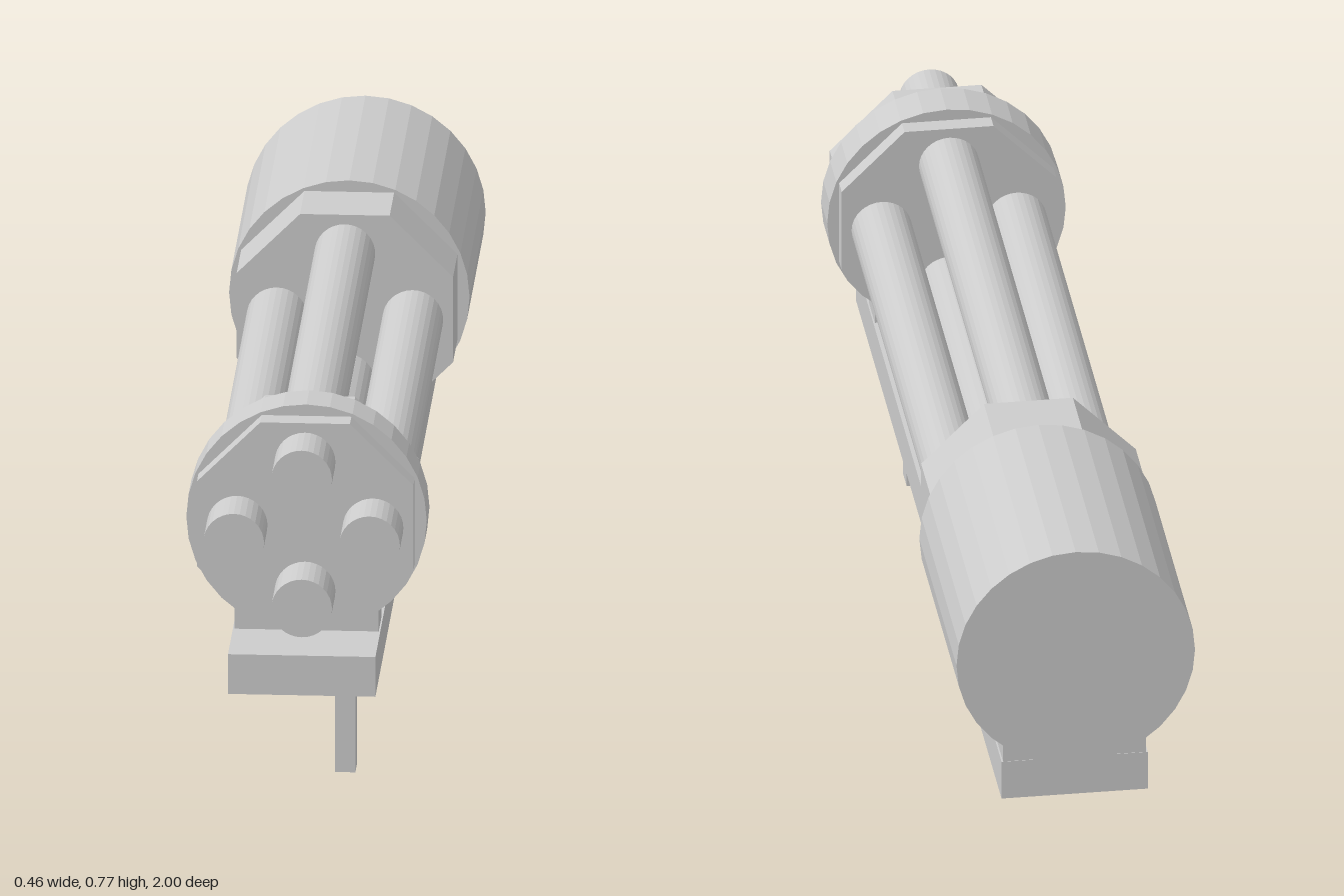
import * as THREE from 'three';

const AXIS_Y = 0.545;

export function createModel() {
  const model = new THREE.Group();
  const material = new THREE.MeshStandardMaterial({ color: 0xcccccc, flatShading: true });

  function add(name, geometry) {
    const mesh = new THREE.Mesh(geometry, material);
    mesh.name = name;
    model.add(mesh);
    return mesh;
  }

  // Prism lying along z between two depths
  function prism(name, radius, sides, z0, z1, x = 0, y = AXIS_Y, turn = 0) {
    const geometry = new THREE.CylinderGeometry(radius, radius, z1 - z0, sides, 1, false, turn);
    geometry.rotateX(Math.PI / 2);
    add(name, geometry).position.set(x, y, (z0 + z1) / 2);
  }

  // Box given by its limits
  function block(name, x0, x1, y0, y1, z0, z1) {
    add(name, new THREE.BoxGeometry(x1 - x0, y1 - y0, z1 - z0))
      .position.set((x0 + x1) / 2, (y0 + y1) / 2, (z0 + z1) / 2);
  }

  // Rear housing and its octagonal collar
  prism('rearHousing', 0.23, 32, -1, -0.493);
  prism('rearCollar', 0.224, 8, -0.5, -0.355, 0, AXIS_Y, Math.PI / 8);

  // Front clamp: octagonal plate with a round band
  prism('frontCollar', 0.224, 8, 0.728, 0.892, 0, AXIS_Y, Math.PI / 8);
  prism('frontBand', 0.23, 32, 0.763, 0.848);

  // Four barrels around the axis
  for (let i = 0; i < 4; i++) {
    const a = (i * Math.PI) / 2;
    prism('barrel', 0.058, 32, -0.4, 1, 0.13 * Math.cos(a), AXIS_Y + 0.13 * Math.sin(a));
  }

  // Base plate and the saddles that carry the round parts
  block('basePlate', -0.141, 0.141, 0.24, 0.32, -0.985, 1);
  block('rearSaddle', -0.138, 0.138, 0.31, 0.37, -0.984, -0.496);
  block('frontSaddle', -0.138, 0.138, 0.31, 0.37, 0.764, 0.847);

  // Grips
  block('frontGrip', 0.048, 0.087, 0, 0.25, 0.69, 0.743);
  block('rearGrip', -0.02, 0.02, 0, 0.25, -0.125, -0.073);

  // Curved trigger, drawn in the z-y plane
  const profile = new THREE.Shape();
  profile.moveTo(-0.037, 0.25);
  profile.lineTo(-0.037, 0.222);
  profile.quadraticCurveTo(-0.032, 0.185, -0.006, 0.17);
  profile.lineTo(0.001, 0.181);
  profile.quadraticCurveTo(-0.022, 0.197, -0.024, 0.222);
  profile.lineTo(-0.024, 0.25);
  const trigger = new THREE.ExtrudeGeometry(profile, { depth: 0.02, bevelEnabled: false, curveSegments: 5 });
  trigger.translate(0, 0, -0.01);
  trigger.rotateY(-Math.PI / 2);
  add('trigger', trigger);

  return model;
}
